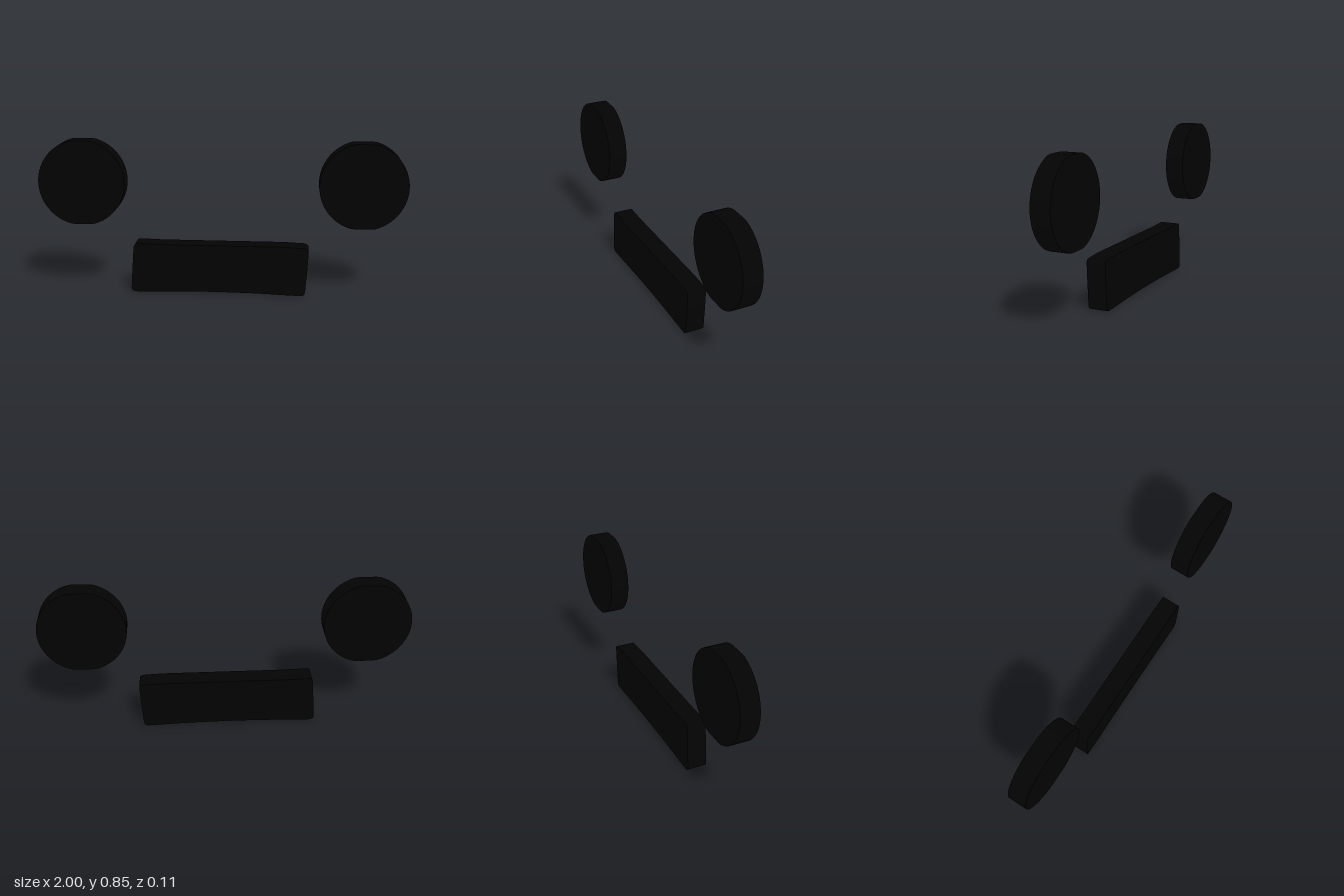
import * as THREE from 'three';
import { toCreasedNormals } from 'three/addons/utils/BufferGeometryUtils.js';

const DEPTH = 0.106;
const material = new THREE.MeshStandardMaterial({ color: 0x030303 });

// Flat plate cut from an outline, centred on z = 0, smooth around its rim
function plate(name, shape) {
  const geometry = new THREE.ExtrudeGeometry(shape, { depth: DEPTH, bevelEnabled: false, curveSegments: 8 });
  geometry.translate(0, 0, -DEPTH / 2);
  const mesh = new THREE.Mesh(toCreasedNormals(geometry, 0.6), material);
  mesh.name = name;
  return mesh;
}

// Round disc, slightly flattened at top and bottom
function eyeShape(radius, halfHeight) {
  const points = [];
  const n = 64;
  for (let i = 0; i < n; i++) {
    const a = (i / n) * Math.PI * 2;
    const y = THREE.MathUtils.clamp(radius * Math.sin(a), -halfHeight, halfHeight);
    points.push(new THREE.Vector2(radius * Math.cos(a), y));
  }
  return new THREE.Shape(points);
}

// Slightly slanted bar with softened corners and a faintly pinched top and bottom
function mouthShape() {
  const s = new THREE.Shape();
  s.moveTo(-0.47, 0.004);
  s.lineTo(-0.4, 0.005);
  s.quadraticCurveTo(-0.2, 0.013, 0, 0.012);
  s.quadraticCurveTo(0.2, 0.011, 0.33, 0.004);
  s.lineTo(0.44, 0);
  s.quadraticCurveTo(0.46, 0, 0.463, 0.025);
  s.lineTo(0.473, 0.16);
  s.lineTo(0.478, 0.25);
  s.quadraticCurveTo(0.478, 0.27, 0.45, 0.273);
  s.lineTo(0.34, 0.278);
  s.lineTo(-0.33, 0.278);
  s.lineTo(-0.46, 0.282);
  s.quadraticCurveTo(-0.482, 0.282, -0.484, 0.255);
  s.lineTo(-0.494, 0.12);
  s.lineTo(-0.5, 0.025);
  s.quadraticCurveTo(-0.5, 0.006, -0.47, 0.004);
  return s;
}

export function createModel() {
  const group = new THREE.Group();
  group.name = 'face';

  for (const [name, side] of [['leftEye', 1], ['rightEye', -1]]) {
    const eye = plate(name, eyeShape(0.237, 0.23));
    eye.position.set(side * 0.763, 0.617, 0);
    group.add(eye);
  }

  group.add(plate('mouth', mouthShape()));
  return group;
}
